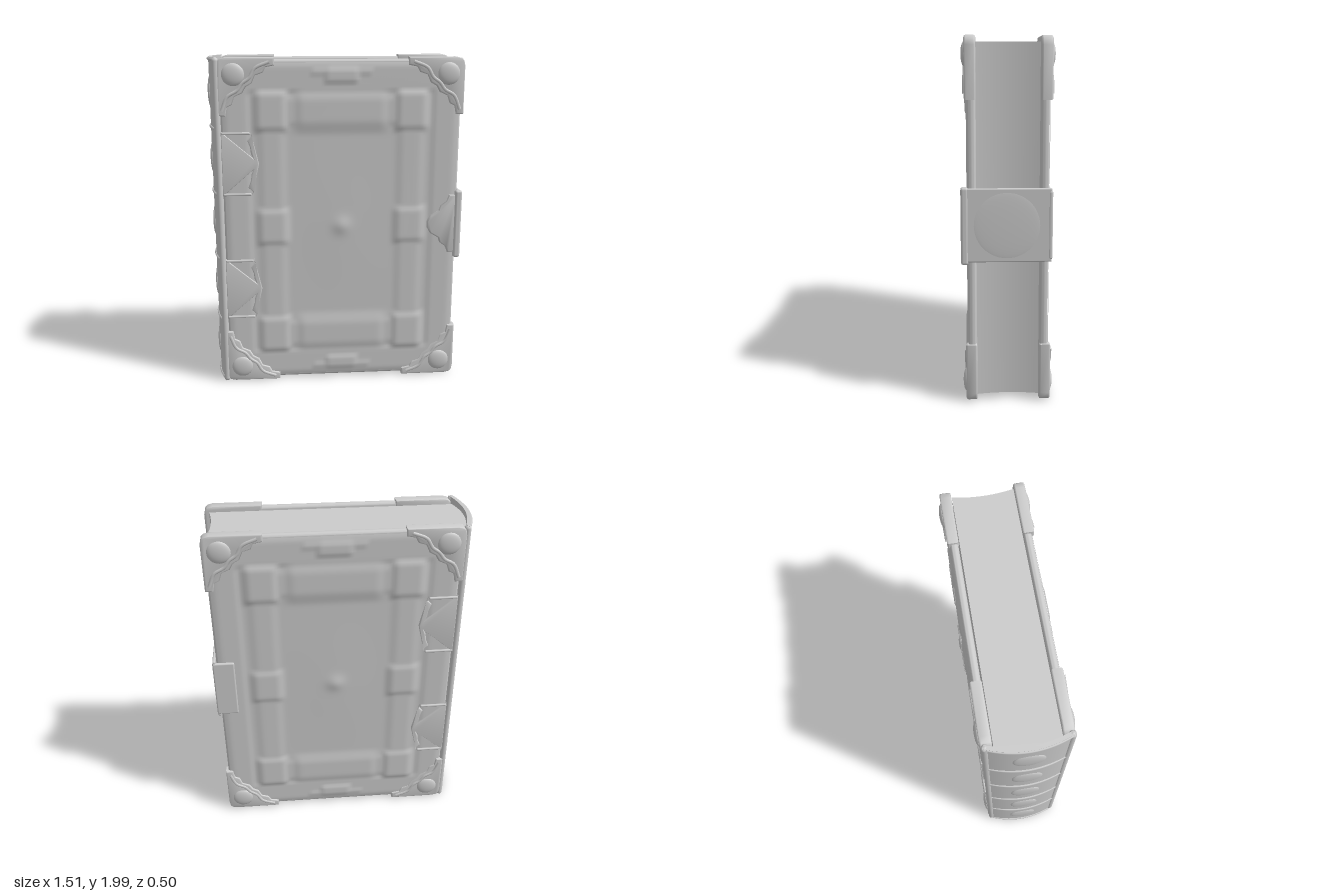
import * as THREE from 'three';
import { RoundedBoxGeometry } from 'three/addons/geometries/RoundedBoxGeometry.js';
import { toCreasedNormals } from 'three/addons/utils/BufferGeometryUtils.js';

const mat = new THREE.MeshStandardMaterial({ color: 0xcccccc, roughness: 0.8 });
const CX = 0.025, FACE = 0.216;

function add(parent, name, geo, x = 0, y = 0, z = 0) {
  const m = new THREE.Mesh(geo, mat);
  m.name = name;
  m.position.set(x, y, z);
  parent.add(m);
  return m;
}

function box(parent, name, x0, x1, y0, y1, z0, z1, r) {
  return add(parent, name, new RoundedBoxGeometry(x1 - x0, y1 - y0, z1 - z0, 3, r),
    (x0 + x1) / 2, (y0 + y1) / 2, (z0 + z1) / 2);
}

// Plate with rounded rims, from z0 to z1 overall
function plate(shape, z0, z1, bevel) {
  const g = new THREE.ExtrudeGeometry(shape, {
    depth: z1 - z0 - 2 * bevel, bevelThickness: bevel, bevelSize: bevel,
    bevelOffset: -bevel, bevelSegments: 4, curveSegments: 10,
  });
  g.translate(0, 0, z0 + bevel);
  return toCreasedNormals(g, 0.7);
}

function polygon(points) {
  return new THREE.Shape(points.map(([x, y]) => new THREE.Vector2(x, y)));
}

function roundedRect(w, h, r) {
  const s = new THREE.Shape();
  s.moveTo(-w + r, -h);
  s.lineTo(w - r, -h).quadraticCurveTo(w, -h, w, -h + r);
  s.lineTo(w, h - r).quadraticCurveTo(w, h, w - r, h);
  s.lineTo(-w + r, h).quadraticCurveTo(-w, h, -w, h - r);
  s.lineTo(-w, -h + r).quadraticCurveTo(-w, -h, -w + r, -h);
  return s;
}

// Soft-edged block: 1 inside, falling to 0 over the given softness
function pad(x, y, cx, cy, hw, hh, soft) {
  const f = (d, h) => 1 - THREE.MathUtils.smoothstep(Math.abs(d), h - soft, h + soft);
  return f(x - cx, hw) * f(y - cy, hh);
}

// Embossing height of a cover, symmetrical in x and y about its centre
function relief(x, y) {
  const ax = Math.abs(x), ay = Math.abs(y);
  const border = 0.006 * (1 - pad(ax, ay, 0, 0, 0.54, 0.8, 0.015));
  const rail = 0.008 * pad(ax, ay, 0.41, 0, 0.07, 0.68, 0.03);
  const roll = 0.014 * pad(ax, ay, 0, 0.69, 0.27, 0.1, 0.05);
  const link = 0.007 * pad(ax, ay, 0, 0.69, 0.42, 0.085, 0.03);
  const cornerPad = 0.017 * pad(ax, ay, 0.41, 0.69, 0.09, 0.115, 0.03);
  const sidePad = 0.016 * pad(ax, ay, 0.41, 0, 0.085, 0.11, 0.03);
  const boss = 0.012 * Math.exp(-(x * x + y * y) / 0.0025);
  const swell = 0.005 * Math.exp(-(x * x / 0.05 + y * y / 0.15));
  const crest = 0.014 * Math.max(
    pad(ax, ay, 0, 0.89, 0.1, 0.045, 0.02),
    0.7 * pad(ax, ay, 0.1, 0.91, 0.08, 0.025, 0.015));
  const edge = THREE.MathUtils.smoothstep(0.97 - ay, 0, 0.03) * THREE.MathUtils.smoothstep(0.69 - ax, 0, 0.03);
  return 0.0005 + edge * (Math.max(border, rail, roll, link, cornerPad, sidePad, crest) + boss + swell);
}

function makeCover(name) {
  const g = new THREE.Group();
  g.name = name;
  add(g, 'coverBoard', plate(roundedRect(0.7, 0.982, 0.05), 0.174, FACE, 0.016), CX);

  const emboss = new THREE.PlaneGeometry(1.37, 1.93, 90, 126);
  const p = emboss.attributes.position;
  for (let i = 0; i < p.count; i++) p.setZ(i, relief(p.getX(i), p.getY(i)));
  emboss.computeVertexNormals();
  add(g, 'embossedPanel', emboss, CX, 0, FACE);

  // Corner brackets: stepped inner edge, symmetrical about the diagonal
  const half = [[-0.33, 0], [-0.33, -0.045], [-0.28, -0.055], [-0.265, -0.085], [-0.22, -0.1], [-0.2, -0.145]];
  const other = half.map(([x, y]) => [y, x]).reverse();
  const outer = [[0, -0.05], [-0.007, -0.02], [-0.02, -0.007], [-0.05, 0]];
  const bracket = plate(polygon([...half, [-0.165, -0.165], ...other, ...outer]), 0.17, 0.231, 0.01);
  const scroll = new THREE.TubeGeometry(new THREE.CatmullRomCurve3([
    [-0.3, -0.025], [-0.22, -0.06], [-0.185, -0.115], [-0.145, -0.145],
    [-0.115, -0.185], [-0.06, -0.22], [-0.025, -0.3],
  ].map(([x, y]) => new THREE.Vector3(x, y, 0.228))), 30, 0.011, 8);
  const stud = new THREE.SphereGeometry(0.065, 24, 16);
  stud.scale(1, 1, 0.3);
  [[1, 1], [-1, 1], [-1, -1], [1, -1]].forEach(([sx, sy], i) => {
    const c = new THREE.Group();
    c.name = 'cornerBracket';
    c.position.set(CX + sx * 0.715, sy * 0.994, 0);
    c.rotation.z = i * Math.PI / 2;
    add(c, 'bracketPlate', bracket);
    add(c, 'bracketScroll', scroll);
    add(c, 'cornerStud', stud, -0.095, -0.095, 0.229);
    g.add(c);
  });

  // Hinge plates with a pointed, scalloped free edge
  const up = [[0.17, 0.19], [0.175, 0.165], [0.15, 0.14], [0.165, 0.1], [0.17, 0.06], [0.185, 0.03]];
  const down = up.map(([x, y]) => [x, -y]).reverse();
  const hinge = plate(polygon([[0, 0.19], [0, -0.19], ...down, [0.215, 0], ...up]), 0.2, 0.232, 0.007);
  const rim = new THREE.CapsuleGeometry(0.008, 0.15, 4, 8);
  rim.rotateZ(Math.PI / 2);
  for (const y of [0.385, -0.385]) {
    add(g, 'hingePlate', hinge, -0.675, y);
    for (const s of [1, -1]) add(g, 'hingeRim', rim, -0.59, y + s * 0.18, 0.23);
  }
  g.position.set(0, 1, -0.008);
  return g;
}

function makePages() {
  const s = new THREE.Shape();
  s.moveTo(-0.69, -0.168);
  s.lineTo(0.71, -0.168).quadraticCurveTo(0.675, 0, 0.71, 0.168);
  s.lineTo(-0.69, 0.168).quadraticCurveTo(-0.755, 0, -0.69, -0.168);
  const g = new THREE.ExtrudeGeometry(s, { depth: 1.92, bevelEnabled: false, curveSegments: 20 });
  g.rotateX(-Math.PI / 2);
  return toCreasedNormals(g, 0.6);
}

function makeSpine() {
  const g = new THREE.Group();
  g.name = 'spine';
  const s = new THREE.Shape();
  s.moveTo(-0.70, -0.225).quadraticCurveTo(-0.79, 0, -0.70, 0.225);
  s.lineTo(-0.68, 0.215).quadraticCurveTo(-0.765, 0, -0.68, -0.215);
  s.closePath();
  const strip = new THREE.ExtrudeGeometry(s, { depth: 1.985, bevelEnabled: false, curveSegments: 24 });
  strip.rotateX(-Math.PI / 2);
  add(g, 'spineStrip', toCreasedNormals(strip, 0.6), 0, 0.008);

  // Rods along both joints
  for (const z of [0.212, -0.212])
    add(g, 'spineRod', new THREE.CapsuleGeometry(0.02, 1.95, 6, 12), -0.693, 1, z);

  // Raised bands between the panels
  const arc = new THREE.QuadraticBezierCurve3(
    new THREE.Vector3(-0.70, 0, -0.215), new THREE.Vector3(-0.79, 0, 0), new THREE.Vector3(-0.70, 0, 0.215));
  const band = new THREE.TubeGeometry(arc, 24, 0.009, 8);
  for (const y of [0.018, 0.41, 0.8, 1.2, 1.59, 1.982]) add(g, 'spineBand', band, 0, y);

  // Round bosses
  const boss = new THREE.SphereGeometry(1, 28, 16);
  boss.scale(0.015, 0.095, 0.085);
  for (const y of [0.21, 0.605, 1, 1.395, 1.79]) add(g, 'spineBoss', boss, -0.741, y);
  g.position.z = -0.004;
  return g;
}

function makeClasp() {
  const g = new THREE.Group();
  g.name = 'clasp';
  box(g, 'claspStrap', 0.727, 0.746, 0.805, 1.205, -0.24, 0.24, 0.008);
  const dome = new THREE.SphereGeometry(1, 32, 16);
  dome.scale(0.007, 0.185, 0.185);
  add(g, 'claspDome', dome, 0.744, 1.005);
  box(g, 'claspBar', 0.708, 0.75, 0.79, 1.21, 0.205, 0.246, 0.014);
  box(g, 'claspBackPlate', 0.62, 0.748, 0.82, 1.19, -0.244, -0.222, 0.009);

  // Scalloped front tongue
  const up = [[0.72, 0.18], [0.675, 0.18], [0.66, 0.14], [0.625, 0.115], [0.615, 0.085], [0.565, 0.055], [0.545, 0.02]];
  const down = up.map(([x, y]) => [x, -y]).reverse();
  add(g, 'claspTongue', plate(polygon([...up, ...down]), 0.2, 0.234, 0.009), 0, 1);
  return g;
}

export function createModel() {
  const book = new THREE.Group();
  book.name = 'book';
  add(book, 'pages', makePages(), 0, 0.04, -0.006);
  const front = makeCover('frontCover');
  const back = makeCover('backCover');
  back.rotation.x = Math.PI; // the cover is symmetrical top to bottom
  book.add(front, back, makeSpine(), makeClasp());
  return book;
}
